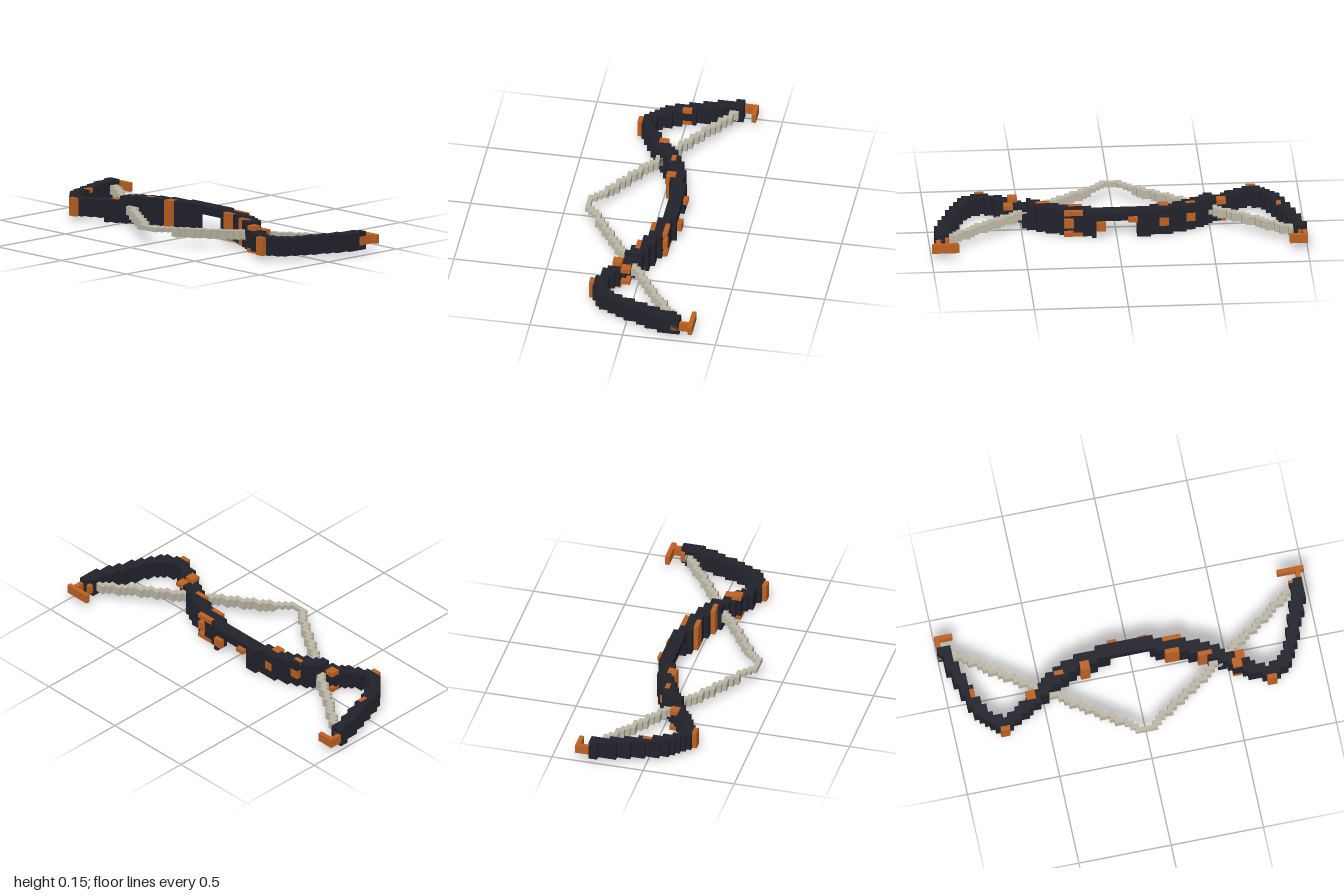
import * as THREE from 'three';
import { mergeGeometries } from 'three/addons/utils/BufferGeometryUtils.js';

const U = 2 / 83; // edge of one cube cell

// Box spanning whole cells: x and z cells are centred on 0, y cells start on the ground
function cells(x0, x1, y0, y1, z0, z1) {
  const g = new THREE.BoxGeometry((x1 - x0 + 1) * U, (y1 - y0 + 1) * U, (z1 - z0 + 1) * U);
  return g.translate(((x0 + x1) / 2) * U, ((y0 + y1 + 1) / 2) * U, ((z0 + z1) / 2) * U);
}

// Centre line of the recurve bow, as (x, z)
const PATH = [
  [0.28, -0.965], [0.2, -0.945], [0.1, -0.91], [0, -0.88], [-0.1, -0.835], [-0.16, -0.785],
  [-0.18, -0.72], [-0.15, -0.66], [-0.1, -0.58], [-0.04, -0.49], [0.02, -0.4], [0.06, -0.3],
  [0.085, -0.18], [0.097, -0.08], [0.097, 0.06], [0.075, 0.18], [0.04, 0.29], [0, 0.39],
  [-0.05, 0.48], [-0.1, 0.55], [-0.15, 0.63], [-0.18, 0.7], [-0.16, 0.77], [-0.08, 0.83],
  [0, 0.865], [0.1, 0.9], [0.2, 0.935], [0.28, 0.95],
].map(([x, z]) => new THREE.Vector3(x, 0, z));

function distanceToPath(p) {
  const line = new THREE.Line3(), q = new THREE.Vector3();
  let best = Infinity;
  for (let i = 1; i < PATH.length; i++) {
    line.set(PATH[i - 1], PATH[i]).closestPointToPoint(p, true, q);
    best = Math.min(best, q.distanceTo(p));
  }
  return best;
}

// Height of the bow in cells: thin limbs, taller riser, open arrow rest in the middle
function heightAt(z) {
  const top = z > -0.52 && z < 0.48 ? 5 : 4;
  if (Math.abs(z) < 0.105) return [4, top];
  return [z > -0.59 && z < 0.5 ? 0 : 1, top];
}

function bowParts() {
  const limbs = [], riser = [];
  for (let k = -41; k <= 41; k++) {
    const z = k * U, [y0, y1] = heightAt(z);
    const list = Math.abs(z) < 0.5 ? riser : limbs;
    const r = Math.abs(z) < 0.5 ? 0.036 : 0.031;
    let start = null;
    for (let i = -16; i <= 16; i++) {
      const inside = distanceToPath(new THREE.Vector3(i * U, 0, z)) < r;
      if (inside && start === null) start = i;
      if (!inside && start !== null) {
        list.push(cells(start, i - 1, y0, y1, k, k));
        start = null;
      }
    }
  }
  return { limbs, riser };
}

// Drawn string: two straight stepped runs meeting at the pulled point
function stringParts() {
  const list = [];
  const xAt = (z) => Math.max(-15, Math.min(11, Math.round((-0.375 + 0.69 * z) / U)));
  for (let k = -39; k <= 38; k++) {
    const z = Math.abs(k) * U;
    list.push(cells(xAt(z - U / 2), xAt(z + U / 2), z < 0.105 ? 3 : 2, 3, k, k));
  }
  return list;
}

// Hooked nocks at both ends of the bow
const NOCKS = [
  [11, 15, 2, 3, -41, -41], [15, 15, 2, 3, -41, -38], [11, 12, 2, 3, -40, -40],
  [11, 15, 2, 3, 40, 40], [15, 15, 2, 3, 36, 41], [12, 12, 2, 3, 38, 39],
];

// Bright studs set along the bow
const STUDS = [
  [-9, -9, 1, 4, -31, -30], [-9, -9, 1, 4, 29, 30],
  [0, 1, 1, 1, -36, -36], [0, 1, 4, 4, -36, -36],
  [-3, -2, 0, 0, -24, -24], [-3, -2, 4, 4, -24, -23],
  [1, 2, 2, 3, -17, -16], [1, 1, 5, 5, -17, -16],
  [1, 2, 0, 5, -11, -10], [4, 4, 2, 3, -11, -10],
  [6, 6, 4, 4, -4, -3], [6, 6, 2, 3, 3, 4],
  [1, 1, 0, 5, 8, 10], [4, 4, 5, 5, 8, 11], [4, 4, 2, 3, 10, 11], [4, 4, 0, 0, 8, 11],
  [-1, -1, 0, 5, 15, 17], [0, 0, 0, 0, 16, 17],
  [-5, -4, 0, 0, 22, 24], [-5, -4, 5, 5, 22, 23], [-3, -2, 1, 1, 23, 24], [-3, -2, 4, 4, 23, 24],
];

export function createModel() {
  const dark = new THREE.MeshStandardMaterial({ name: 'darkWood', color: 0x22222c });
  const copper = new THREE.MeshStandardMaterial({ name: 'copper', color: 0xbe6223 });
  const cord = new THREE.MeshStandardMaterial({ name: 'paleCord', color: 0xbcb7a6 });

  const model = new THREE.Group();
  model.name = 'bow';
  const add = (name, parts, material) => {
    const mesh = new THREE.Mesh(mergeGeometries(parts), material);
    mesh.name = name;
    model.add(mesh);
  };

  const { limbs, riser } = bowParts();
  add('limbs', limbs, dark);
  add('riser', riser, dark);
  add('string', stringParts(), cord);
  add('nocks', NOCKS.map((c) => cells(...c)), copper);
  // Studs stand a hair proud so their faces stay clear of the wood
  add('studs', STUDS.map((c) => {
    const g = cells(...c);
    g.computeBoundingBox();
    const m = g.boundingBox.getCenter(new THREE.Vector3());
    return g.translate(-m.x, -m.y, -m.z).scale(1.04, 1.01, 1.04).translate(m.x, m.y, m.z);
  }), copper);
  return model;
}
